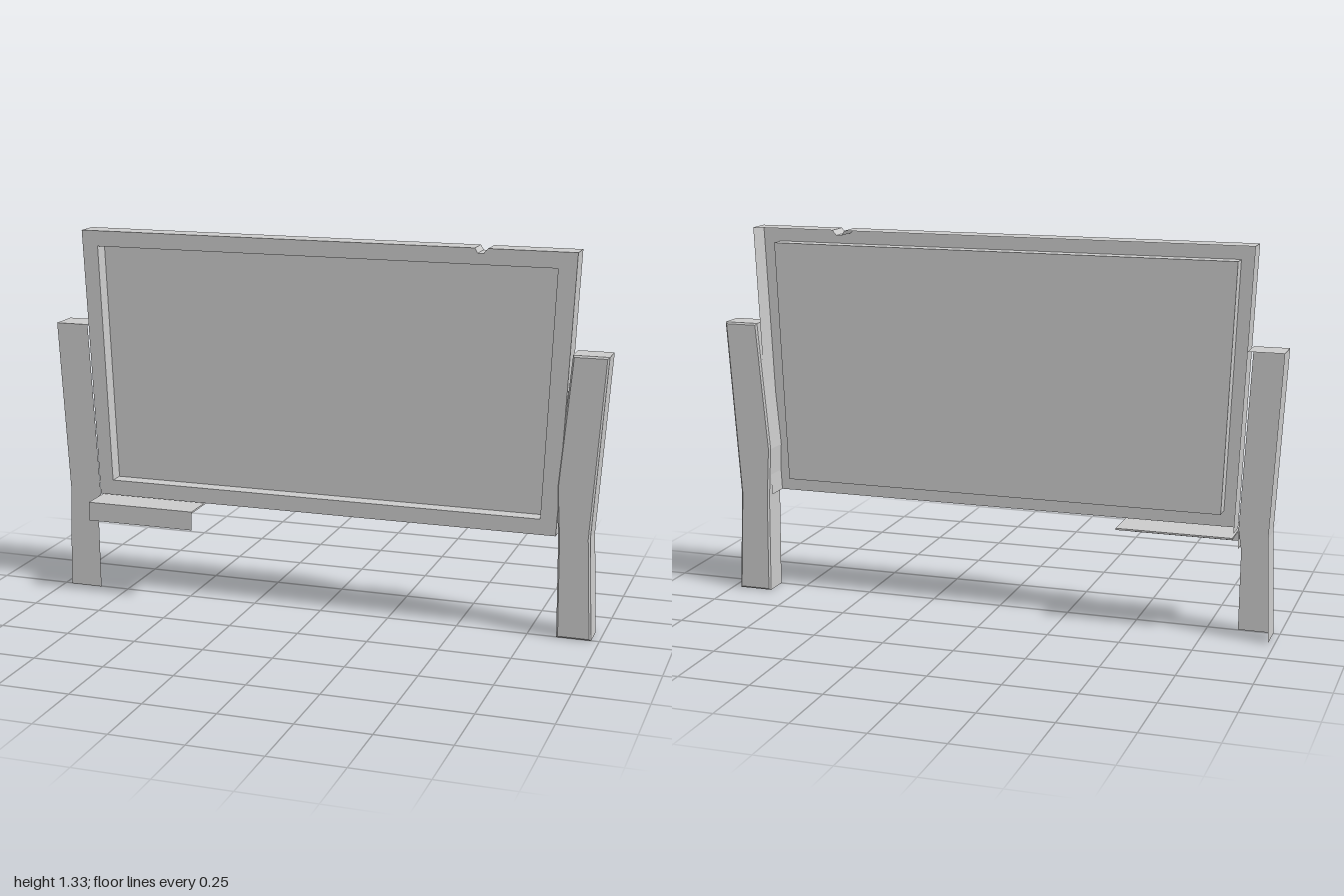
import * as THREE from 'three';

const solid = new THREE.MeshStandardMaterial({ color: 0xcccccc, flatShading: true });
const thin = new THREE.MeshStandardMaterial({ color: 0xcccccc, flatShading: true, side: THREE.DoubleSide });

const toShape = (pts) => new THREE.Shape(pts.map(([x, y]) => new THREE.Vector2(x, y)));

export function createModel() {
  const model = new THREE.Group();

  const add = (name, geometry, material = thin) => {
    const mesh = new THREE.Mesh(geometry, material);
    mesh.name = name;
    model.add(mesh);
    return mesh;
  };

  // Flat sheet in the xy plane at depth z
  const sheet = (name, pts, z, hole) => {
    const shape = toShape(pts);
    if (hole) shape.holes.push(new THREE.Path(hole.map(([x, y]) => new THREE.Vector2(x, y))));
    add(name, new THREE.ShapeGeometry(shape).translate(0, 0, z));
  };

  // Thin wall following a path in xy, running from z0 to z1
  const wall = (name, pts, z0, z1) => {
    const pos = [];
    for (let i = 0; i + 1 < pts.length; i++) {
      const [a, b] = [pts[i], pts[i + 1]];
      pos.push(...a, z0, ...b, z0, ...b, z1, ...a, z0, ...b, z1, ...a, z1);
    }
    const g = new THREE.BufferGeometry();
    g.setAttribute('position', new THREE.Float32BufferAttribute(pos, 3));
    g.computeVertexNormals();
    add(name, g);
  };

  // Board frame: front ring, hollow at the back, with a nick in the top edge
  const outer = [
    [-0.845, 0.36], [-0.89, 1.325], [0.54, 1.325], [0.55, 1.308],
    [0.57, 1.308], [0.585, 1.325], [0.885, 1.325], [0.84, 0.36],
  ];
  const inner = [[-0.795, 0.415], [-0.83, 1.27], [0.82, 1.27], [0.785, 0.415]];
  sheet('frameFront', outer, 0.006, inner);
  wall('frameOuterWalls', outer, 0.006, -0.08);
  wall('frameReveal', [...inner, inner[0]], 0.006, -0.05);
  sheet('panel', inner, -0.05);

  // Solid bent post
  const leftPost = [
    [0.852, 0], [0.972, 0], [0.957, 0.36], [1, 0.985],
    [0.878, 0.985], [0.838, 0.53], [0.848, 0.35],
  ];
  add('leftPost', new THREE.ExtrudeGeometry(toShape(leftPost), {
    depth: 0.09, bevelEnabled: true, bevelThickness: 0.006, bevelSize: 0.006, bevelOffset: -0.006, bevelSegments: 1,
  }).translate(0, 0, -0.088), solid);

  // Bent post made of sheets, open at the back and on its inner side
  const rightPost = [
    [-0.977, 0], [-0.965, 0.36], [-1, 0.985], [-0.88, 0.985],
    [-0.847, 0.355], [-0.858, 0.28], [-0.855, 0],
  ];
  sheet('rightPostFront', rightPost, 0.004);
  wall('rightPostSideAndTop', rightPost.slice(0, 4), 0.004, -0.104);

  // Tray ledge: top plate, front lip and one end
  const ledge = new THREE.BoxGeometry(0.4, 0.006, 0.21).translate(-0.647, 0.35, 0);
  add('ledgeTop', ledge, solid);
  sheet('ledgeLip', [[-0.847, 0.285], [-0.447, 0.285], [-0.447, 0.352], [-0.847, 0.352]], 0.105);
  wall('ledgeEnd', [[-0.847, 0.285], [-0.847, 0.35]], 0.105, 0.004);

  return model;
}
